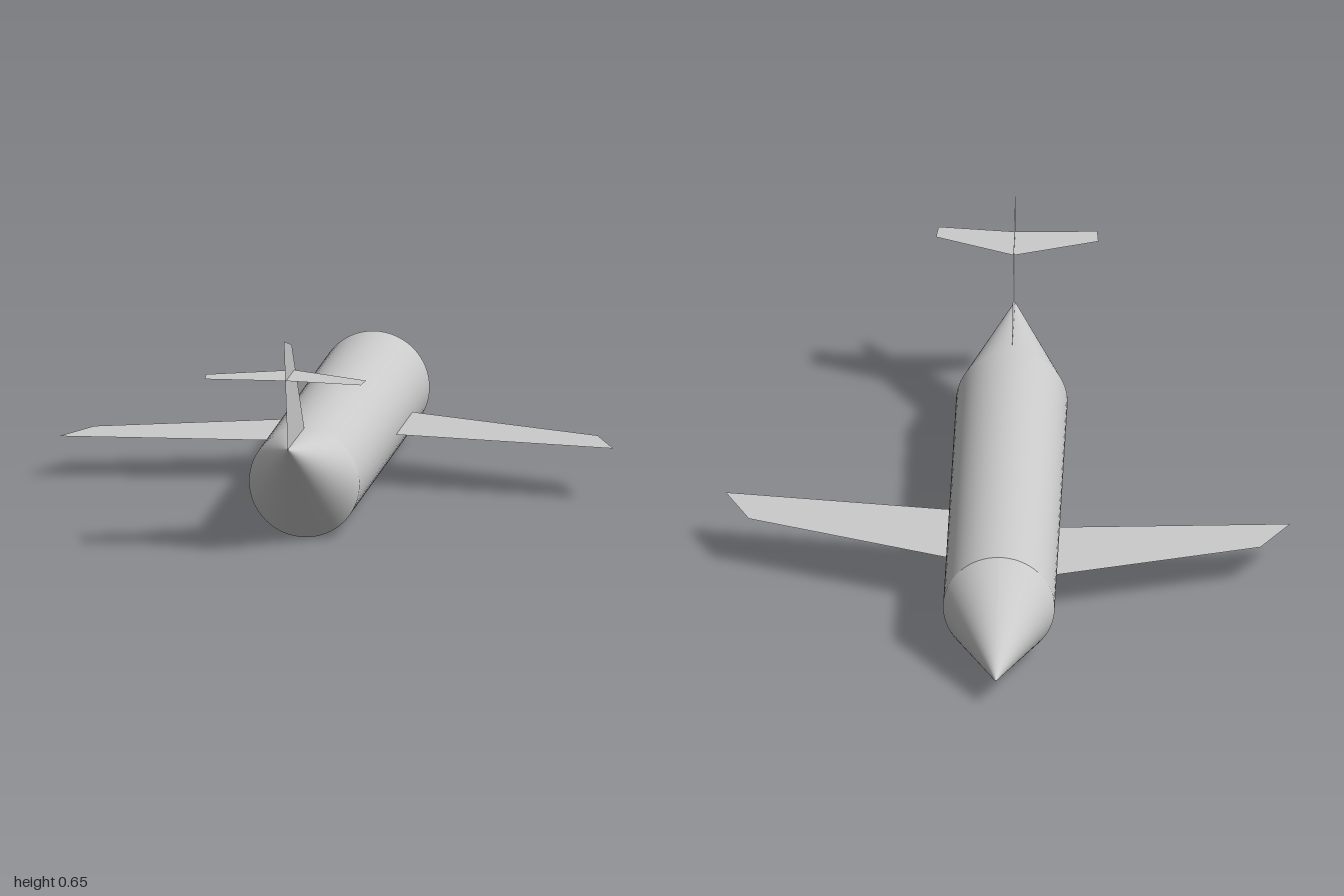
import * as THREE from 'three';

const CX = 0.007, CY = 0.16, R = 0.158;
const BACK = 0.62, FRONT = -0.69;

const bodyMaterial = new THREE.MeshStandardMaterial({ color: 0xcccccc });
const sheetMaterial = new THREE.MeshStandardMaterial({ color: 0xcccccc, side: THREE.DoubleSide });

// Cone standing on a fuselage rim, sheared so its tip reaches tipY, tipZ
function slantedCone(name, baseZ, tipY, tipZ) {
  const length = Math.abs(tipZ - baseZ);
  const dir = Math.sign(tipZ - baseZ);
  const geometry = new THREE.ConeGeometry(R, length, 64, 8, true);
  geometry.rotateX(dir * Math.PI / 2);
  geometry.translate(CX, CY, (baseZ + tipZ) / 2);
  const p = geometry.attributes.position;
  for (let i = 0; i < p.count; i++) {
    const t = (p.getZ(i) - baseZ) / (tipZ - baseZ);
    p.setY(i, p.getY(i) + t * (tipY - CY));
  }
  geometry.computeVertexNormals();
  const mesh = new THREE.Mesh(geometry, bodyMaterial);
  mesh.name = name;
  return mesh;
}

// Thin flat panel from an outline
function panel(name, outline) {
  const shape = new THREE.Shape(outline.map(([a, b]) => new THREE.Vector2(a, b)));
  const mesh = new THREE.Mesh(new THREE.ShapeGeometry(shape), sheetMaterial);
  mesh.name = name;
  return mesh;
}

// Horizontal panel at height y, outline given as [x, z]
function levelPanel(name, y, outline) {
  const mesh = panel(name, outline.map(([x, z]) => [x, -z]));
  mesh.geometry.rotateX(-Math.PI / 2);
  mesh.position.y = y;
  return mesh;
}

export function createModel() {
  const model = new THREE.Group();
  model.name = 'airplane';

  // Tubular fuselage
  const tube = new THREE.CylinderGeometry(R, R, BACK - FRONT, 64, 1, true);
  tube.rotateX(Math.PI / 2);
  const fuselage = new THREE.Mesh(tube, bodyMaterial);
  fuselage.name = 'fuselage';
  fuselage.position.set(CX, CY, (BACK + FRONT) / 2);
  model.add(fuselage);

  // Drooping nose and upswept tail
  model.add(slantedCone('noseCone', FRONT, 0.08, -1));
  model.add(slantedCone('tailCone', BACK, 0.322, 0.93));

  // Swept wings, rooted just inside the fuselage
  model.add(levelPanel('leftWing', 0.157, [[0.13, -0.384], [0.73, -0.14], [0.80, 0.025], [0.13, -0.07]]));
  model.add(levelPanel('rightWing', 0.122, [[-0.12, -0.41], [-0.72, -0.21], [-0.80, -0.06], [-0.12, -0.10]]));

  // Upright fin, outline given as [z, y]
  const fin = panel('tailFin', [[0.62, 0.318], [0.93, 0.322], [1.0, 0.65], [0.855, 0.61]]);
  fin.geometry.rotateY(-Math.PI / 2);
  fin.position.x = CX;
  model.add(fin);

  // Tailplane crossing the fin
  model.add(levelPanel('tailplane', 0.527, [
    [CX, 0.81], [0.23, 0.92], [0.225, 0.985], [CX, 0.96], [-0.225, 0.97], [-0.23, 0.905],
  ]));

  return model;
}
